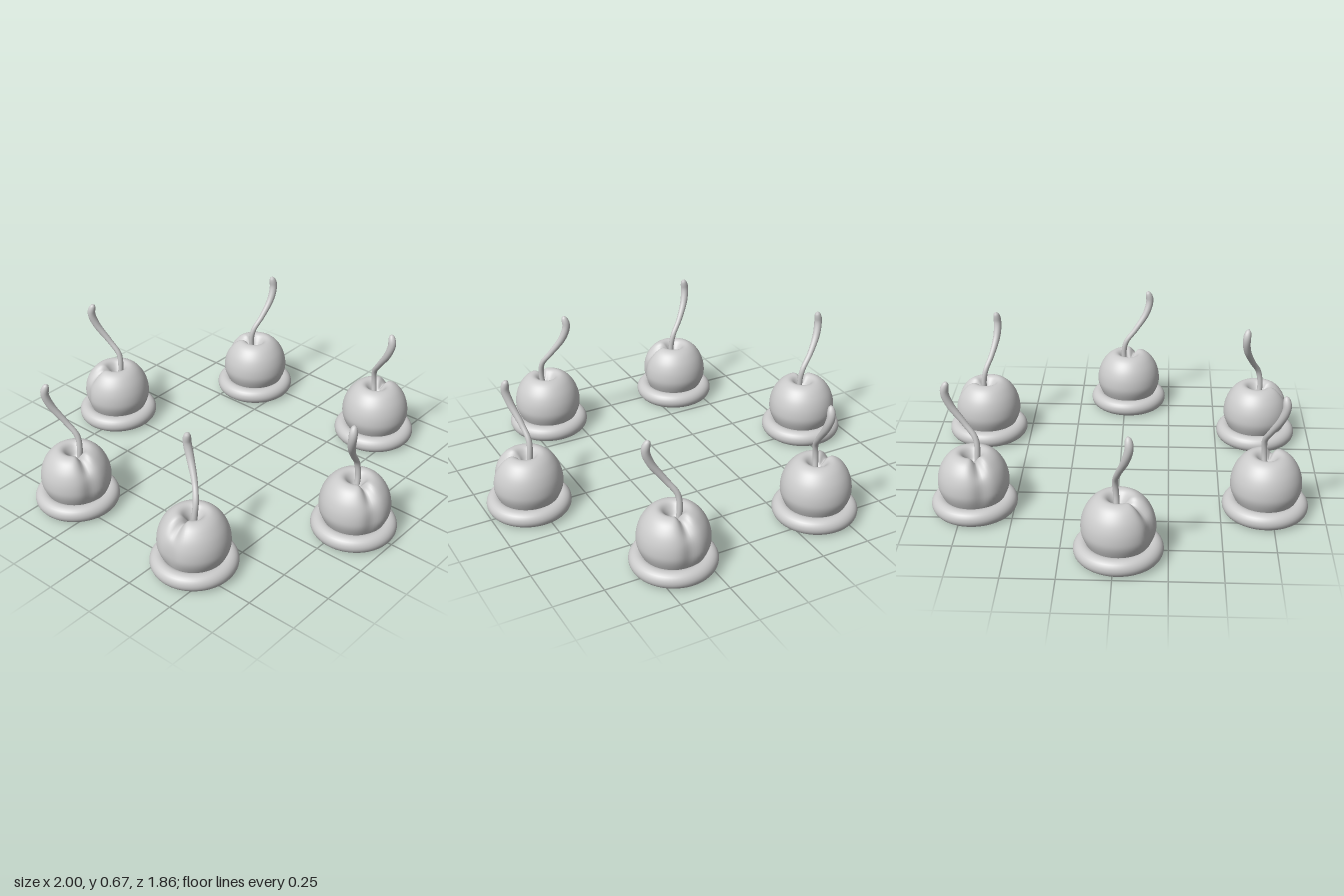
import * as THREE from 'three';
import { mergeVertices } from 'three/addons/utils/BufferGeometryUtils.js';

const material = new THREE.MeshStandardMaterial({ color: 0xcccccc, side: THREE.DoubleSide });

// Weld seams and recompute smooth normals after moving vertices
function smooth(geometry) {
  geometry.deleteAttribute('uv');
  geometry.deleteAttribute('normal');
  const welded = mergeVertices(geometry, 1e-5);
  welded.computeVertexNormals();
  return welded;
}

// Hollow fruit, open underneath, with a stem dimple and a groove towards +x
function fruitGeometry() {
  const profile = new THREE.SplineCurve([
    [0.13, 0.045], [0.152, 0.085], [0.168, 0.125], [0.172, 0.16], [0.166, 0.205], [0.148, 0.251],
    [0.118, 0.29], [0.085, 0.309], [0.058, 0.305], [0.036, 0.28], [0.018, 0.252], [0, 0.242],
  ].map(([r, y]) => new THREE.Vector2(r, y)));
  const points = profile.getPoints(44);
  points[points.length - 1].x = 0;
  const geometry = new THREE.LatheGeometry(points, 72);
  const p = geometry.attributes.position;
  for (let i = 0; i < p.count; i++) {
    const x = p.getX(i), y = p.getY(i), z = p.getZ(i);
    const r = Math.hypot(x, z);
    const groove = Math.exp(-((Math.atan2(z, x) / 0.24) ** 2));
    const side = 0.09 * groove * THREE.MathUtils.smoothstep(y, 0.03, 0.16);
    const top = 0.032 * groove * THREE.MathUtils.smoothstep(y, 0.2, 0.3) * THREE.MathUtils.smoothstep(r, 0.01, 0.06);
    p.setXYZ(i, x * (1 - side), y - top, z * (1 - side));
  }
  return smooth(geometry);
}

// S-curved stem leaning towards +x, swelling to a rounded tip
function stemGeometry() {
  const path = new THREE.CatmullRomCurve3([
    [-0.02, 0.235, 0], [-0.028, 0.31, 0], [-0.018, 0.38, 0.008], [0.035, 0.45, 0.014],
    [0.1, 0.54, 0.008], [0.122, 0.61, 0], [0.108, 0.665, 0],
  ].map((c) => new THREE.Vector3(...c)));
  const rings = 60, sides = 16;
  const geometry = new THREE.TubeGeometry(path, rings, 1, sides);
  const p = geometry.attributes.position;
  const v = new THREE.Vector3();
  for (let i = 0; i < p.count; i++) {
    const t = Math.floor(i / (sides + 1)) / rings;
    const centre = path.getPointAt(t);
    const body = 0.014 + 0.006 * THREE.MathUtils.smoothstep(t, 0.4, 0.85);
    const tip = Math.sqrt(Math.max(0, 1 - Math.max(0, (t - 0.9) / 0.1) ** 2));
    v.fromBufferAttribute(p, i).sub(centre).multiplyScalar(body * tip).add(centre);
    p.setXYZ(i, v.x, v.y, v.z);
  }
  return smooth(geometry);
}

export function createModel() {
  const model = new THREE.Group();
  model.name = 'cherryCircle';
  const fruit = fruitGeometry();
  const stem = stemGeometry();
  const ring = new THREE.TorusGeometry(0.166, 0.0415, 24, 72).rotateX(Math.PI / 2).translate(0, 0.0415, 0);

  // Centre x, centre z, groove direction, stem direction (degrees from +x towards +z)
  const cherries = [
    [-0.405, -0.69, 158, -77],
    [0.39, -0.727, -90, 27],
    [-0.792, 0.022, 118, 156],
    [0.792, 0.02, 25, 70],
    [-0.382, 0.715, 18, 148],
    [0.393, 0.715, 90, 217],
  ];
  for (const [x, z, grooveAngle, stemAngle] of cherries) {
    const cherry = new THREE.Group();
    cherry.name = 'cherry';
    cherry.position.set(x, 0, z);
    const add = (name, geometry, angle = 0) => {
      const mesh = new THREE.Mesh(geometry, material);
      mesh.name = name;
      mesh.rotation.y = -THREE.MathUtils.degToRad(angle);
      cherry.add(mesh);
    };
    add('baseRing', ring);
    add('fruit', fruit, grooveAngle);
    add('stem', stem, stemAngle);
    model.add(cherry);
  }
  return model;
}
